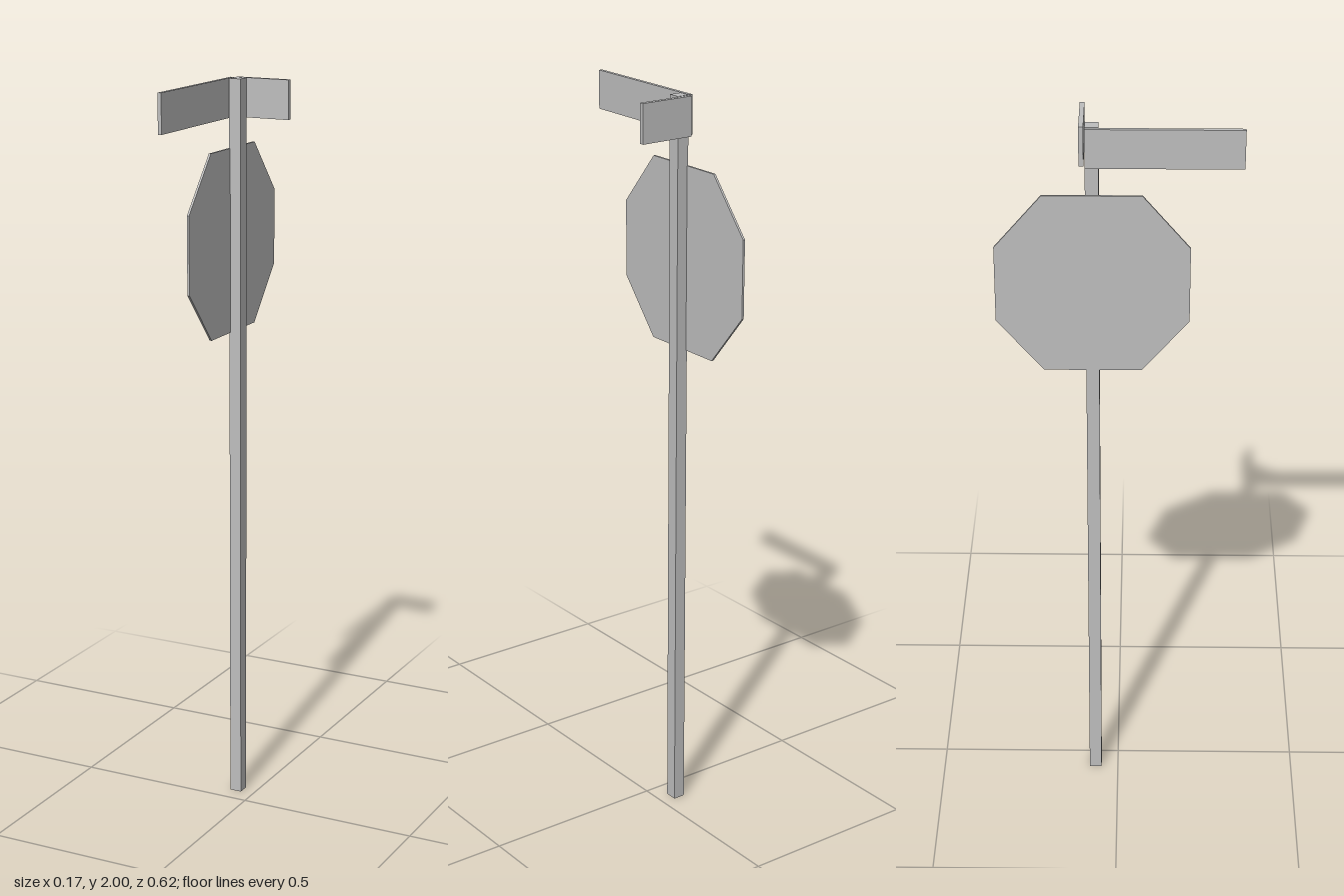
import * as THREE from 'three';

export function createModel() {
  const model = new THREE.Group();
  const metal = new THREE.MeshStandardMaterial({ color: 0xbfbfbf });
  metal.name = 'grey metal';

  // box given by its min and max corners
  const addBox = (name, min, max) => {
    const size = max.map((v, i) => v - min[i]);
    const mesh = new THREE.Mesh(new THREE.BoxGeometry(...size), metal);
    mesh.position.set(...max.map((v, i) => (v + min[i]) / 2));
    mesh.name = name;
    model.add(mesh);
  };

  // square post and the two street blades at its top
  addBox('post', [-0.07, 0, -0.081], [-0.037, 2, -0.047]);
  addBox('longBlade', [-0.083, 1.897, -0.081], [-0.073, 2, 0.31]);
  addBox('shortBlade', [-0.069, 1.897, -0.096], [0.083, 2, -0.084]);

  // octagonal plate, drawn in z/y and turned to face sideways
  const half = 0.246, flatZ = 0.125, flatY = 0.103;
  const corners = [
    [half, -flatY], [half, flatY], [flatZ, half], [-flatZ, half],
    [-half, flatY], [-half, -flatY], [-flatZ, -half], [flatZ, -half],
  ].map(([a, b]) => new THREE.Vector2(a, b));
  const plateGeometry = new THREE.ExtrudeGeometry(new THREE.Shape(corners), {
    depth: 0.006, bevelEnabled: false,
  });
  const plate = new THREE.Mesh(plateGeometry, metal);
  plate.name = 'octagonPlate';
  plate.rotation.y = -Math.PI / 2;
  plate.position.set(-0.067, 1.573, -0.064);
  model.add(plate);

  return model;
}
